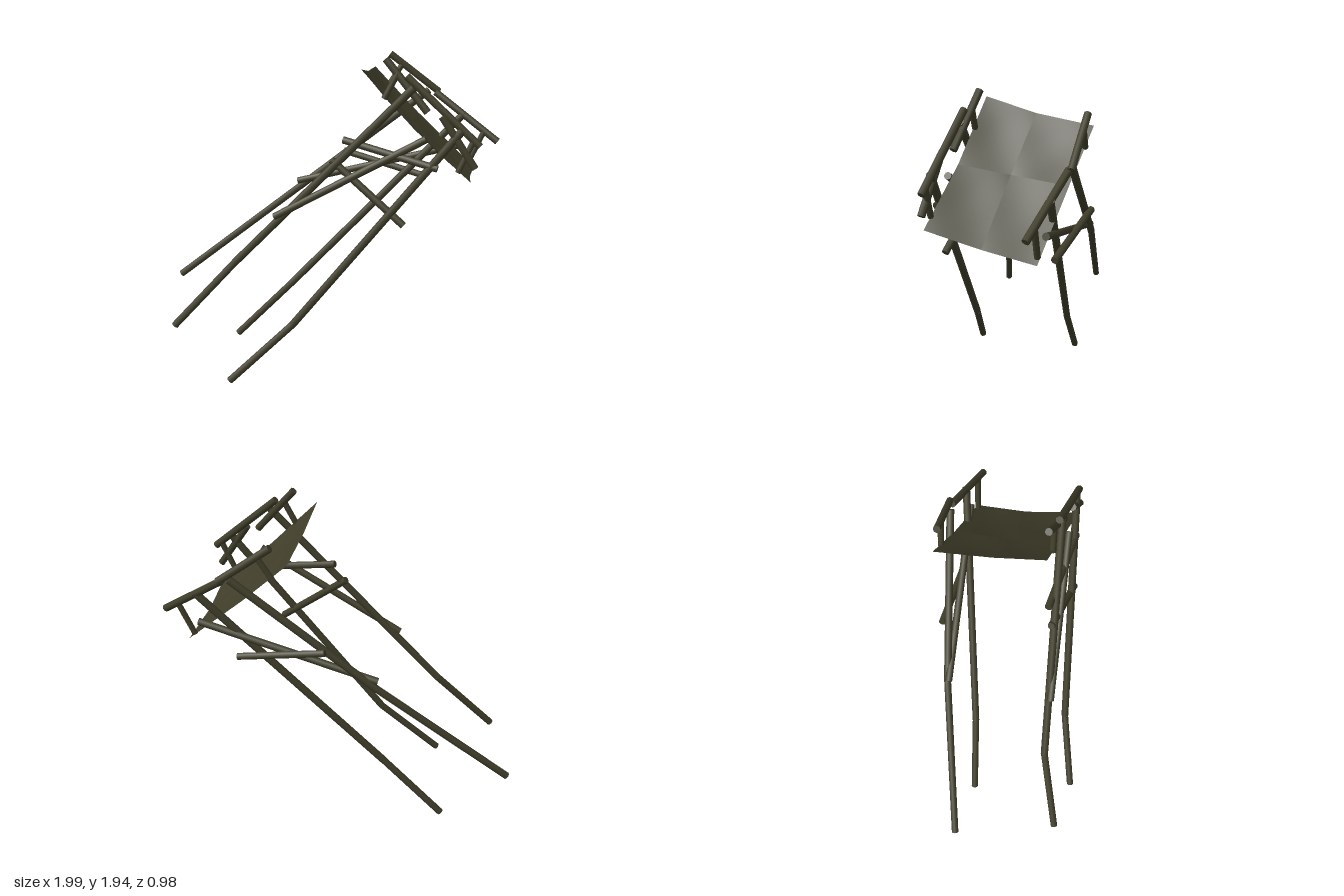
import * as THREE from 'three';

export function createModel() {
  const group = new THREE.Group();
  group.name = 'stiltPlatform';

  const wood = new THREE.MeshStandardMaterial({ color: 0x403e2a, side: THREE.DoubleSide });
  wood.name = 'dark weathered wood';
  const up = new THREE.Vector3(0, 1, 0);

  // Round pole between two points
  function pole(name, a, b, r = 0.021, parent = group) {
    const p = new THREE.Vector3(...a), q = new THREE.Vector3(...b);
    const d = q.clone().sub(p);
    const mesh = new THREE.Mesh(new THREE.CylinderGeometry(r, r, d.length(), 8), wood);
    mesh.position.copy(p).add(q).multiplyScalar(0.5);
    mesh.quaternion.setFromUnitVectors(up, d.normalize());
    mesh.name = name;
    parent.add(mesh);
  }

  // Legs: foot, bend, top
  const legs = {
    backLegRight: [[-0.98, 0.40, -0.19], [-0.22, 1.0, -0.35], [0.56, 1.63, -0.45]],
    frontLegRight: [[-0.825, 0.35, 0.405], [-0.48, 0.73, 0.275], [0.52, 1.79, 0.17]],
    backLegLeft: [[-0.6, 0.02, -0.155], [-0.25, 0.39, -0.2], [0.78, 1.51, -0.41]],
    frontLegLeft: [[-0.48, 0.05, 0.47], [-0.12, 0.4, 0.36], [0.79, 1.58, 0.22]],
  };
  for (const [name, [foot, bend, top]] of Object.entries(legs)) {
    const leg = new THREE.Group();
    leg.name = name;
    pole('lowerPole', foot, bend, 0.021, leg);
    pole('upperPole', bend, top, 0.022, leg);
    group.add(leg);
  }

  // Braces between the legs
  [
    [[-0.23, 1.04, -0.34], [0.78, 1.32, -0.39]],
    [[-0.24, 1.03, 0.26], [0.6, 1.52, 0.21]],
    [[0.14, 1.48, 0.17], [0.67, 1.37, 0.25]],
    [[0.08, 1.37, 0.2], [0.5, 1.04, 0.285]],
    [[0.05, 1.23, -0.42], [0.57, 1.11, -0.37]],
  ].forEach(([a, b]) => pole('brace', a, b));

  // Hand rails along both sides
  [
    [[0.36, 1.93, 0.12], [0.6, 1.66, 0.175]],
    [[0.48, 1.85, 0.16], [0.89, 1.5, 0.225]],
    [[0.68, 1.65, 0.21], [0.87, 1.38, 0.24]],
    [[0.32, 1.84, -0.46], [0.62, 1.62, -0.465]],
    [[0.6, 1.62, -0.45], [0.985, 1.36, -0.355]],
  ].forEach(([a, b]) => pole('rail', a, b));

  // Short posts holding the rails
  [
    [[0.43, 1.86, 0.14], [0.36, 1.72, 0.15]],
    [[0.85, 1.52, 0.22], [0.78, 1.35, 0.23]],
    [[0.4, 1.79, -0.46], [0.32, 1.66, -0.45]],
    [[0.9, 1.41, -0.37], [0.82, 1.22, -0.36]],
  ].forEach(([a, b]) => pole('railPost', a, b, 0.017));

  // Deck: 3 x 3 corner grid spanned by four softly bowed panels
  const grid = [
    [[0.23, 1.87, 0.134], [0.23, 1.8, -0.15], [0.23, 1.757, -0.47]],
    [[0.53, 1.565, 0.18], [0.49, 1.525, -0.1], [0.5, 1.5, -0.42]],
    [[0.85, 1.3, 0.24], [0.84, 1.23, -0.07], [0.855, 1.19, -0.37]],
  ].map(row => row.map(p => new THREE.Vector3(...p)));
  const normal = new THREE.Vector3(0.7, 0.7, 0.1).normalize();
  const n = 8;
  for (let i = 0; i < 2; i++) {
    for (let j = 0; j < 2; j++) {
      const geo = new THREE.PlaneGeometry(1, 1, n, n);
      const pos = geo.attributes.position;
      for (let k = 0; k < pos.count; k++) {
        const u = pos.getX(k) + 0.5, v = pos.getY(k) + 0.5;
        const p = grid[i][j].clone().lerp(grid[i + 1][j], u)
          .lerp(grid[i][j + 1].clone().lerp(grid[i + 1][j + 1], u), v)
          .addScaledVector(normal, -0.014 * Math.sin(Math.PI * u) * Math.sin(Math.PI * v));
        pos.setXYZ(k, p.x, p.y, p.z);
      }
      geo.computeVertexNormals();
      const panel = new THREE.Mesh(geo, wood);
      panel.name = 'deckPanel';
      group.add(panel);
    }
  }

  return group;
}
